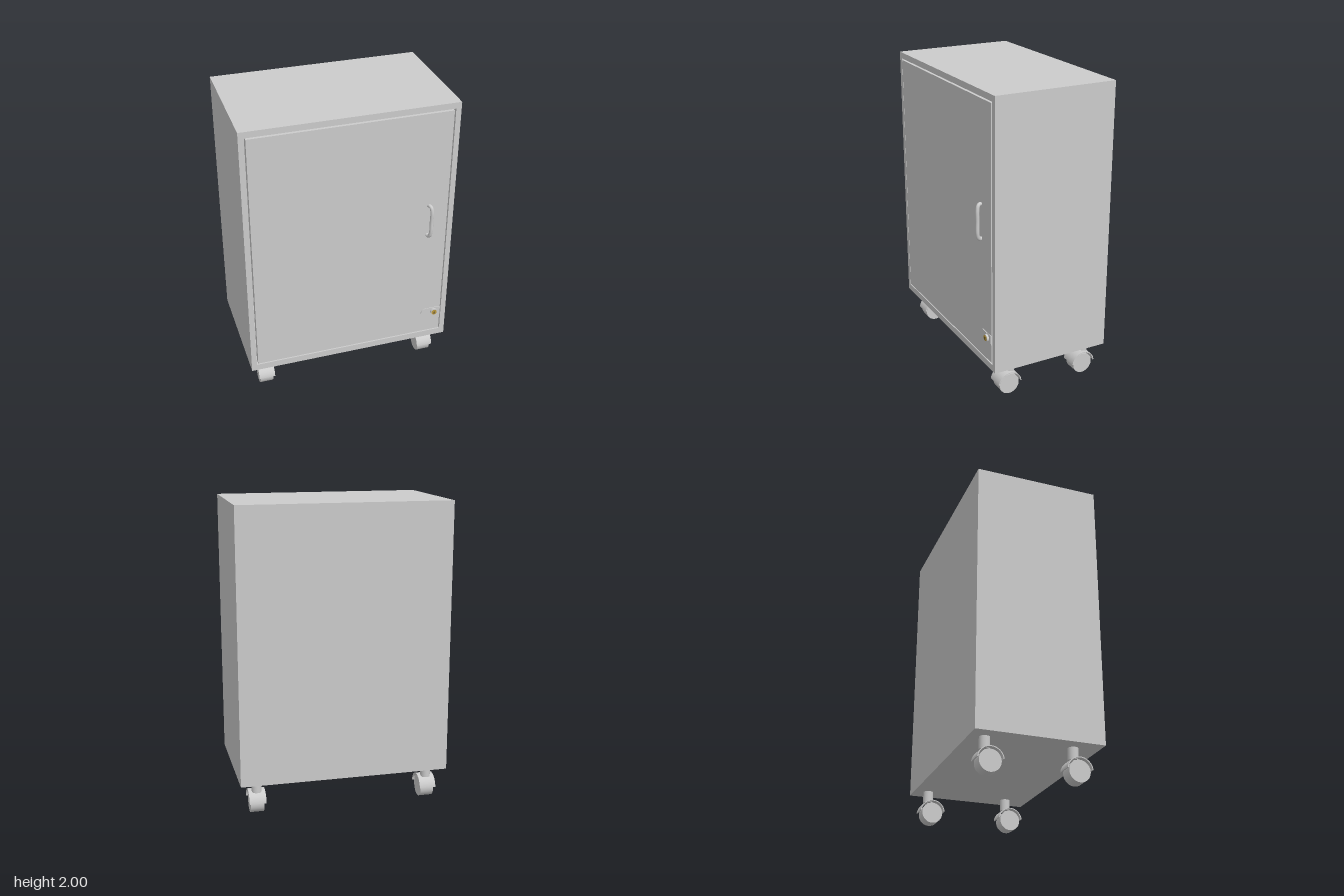
import * as THREE from 'three';

const grey = new THREE.MeshStandardMaterial({ color: 0xcccccc, side: THREE.DoubleSide });
const brass = new THREE.MeshStandardMaterial({ color: 0xb8963c });
const dark = new THREE.MeshStandardMaterial({ color: 0x333333 });

function add(parent, name, geometry, x = 0, y = 0, z = 0, material = grey) {
  const mesh = new THREE.Mesh(geometry, material);
  mesh.name = name;
  mesh.position.set(x, y, z);
  parent.add(mesh);
  return mesh;
}

function rectPath(path, x0, y0, x1, y1) {
  path.moveTo(x0, y0);
  path.lineTo(x1, y0);
  path.lineTo(x1, y1);
  path.lineTo(x0, y1);
  path.closePath();
  return path;
}

const extrude = (shape, depth) =>
  new THREE.ExtrudeGeometry(shape, { depth, bevelEnabled: false, curveSegments: 24 });

// Disc or drum whose axis points forward
const drum = (radius, depth) =>
  new THREE.CylinderGeometry(radius, radius, depth, 32).rotateX(Math.PI / 2);

function createCabinet() {
  const cabinet = new THREE.Group();
  cabinet.name = 'cabinet';
  // Shell open at the front, closed by a back panel
  const shell = rectPath(new THREE.Shape(), -0.69, 0.22, 0.69, 2);
  shell.holes.push(rectPath(new THREE.Path(), -0.655, 0.265, 0.655, 1.96));
  add(cabinet, 'shell', extrude(shell, 0.785), 0, 0, -0.4);
  add(cabinet, 'backPanel', new THREE.BoxGeometry(1.38, 1.78, 0.03), 0, 1.11, -0.415);
  return cabinet;
}

function createDoor() {
  const door = new THREE.Group();
  door.name = 'door';
  add(door, 'doorPanel', new THREE.BoxGeometry(1.292, 1.675, 0.04), 0, 1.113, 0.367);

  // Bowed pull handle, leaning slightly outwards
  const points = [
    [0.515, 1.08, 0.38], [0.518, 1.075, 0.395], [0.524, 1.085, 0.41], [0.528, 1.115, 0.418],
    [0.528, 1.19, 0.418], [0.528, 1.265, 0.418], [0.524, 1.295, 0.41], [0.518, 1.302, 0.395],
    [0.515, 1.297, 0.38],
  ].map((p) => new THREE.Vector3(...p));
  add(door, 'handle', new THREE.TubeGeometry(new THREE.CatmullRomCurve3(points), 64, 0.012, 16));

  // Lock plate with one rounded end
  const plate = new THREE.Shape();
  plate.moveTo(0.646, 0.402);
  plate.lineTo(0.646, 0.465);
  plate.lineTo(0.539, 0.465);
  plate.absarc(0.539, 0.4335, 0.0315, Math.PI / 2, Math.PI * 1.5, false);
  plate.closePath();
  add(door, 'lockPlate', extrude(plate, 0.006), 0, 0, 0.386);
  add(door, 'lockCollar', drum(0.025, 0.016), 0.598, 0.434, 0.397);
  add(door, 'lockCylinder', drum(0.019, 0.004), 0.598, 0.434, 0.406, brass);
  add(door, 'keySlot', new THREE.BoxGeometry(0.005, 0.017, 0.002), 0.598, 0.434, 0.408, dark);
  return door;
}

function createCaster(x, z) {
  const caster = new THREE.Group();
  caster.name = 'caster';
  caster.position.set(x, 0, z);
  add(caster, 'stem', new THREE.CylinderGeometry(0.033, 0.033, 0.08, 24), 0, 0.184, -0.021);
  add(caster, 'wheel', new THREE.CylinderGeometry(0.069, 0.069, 0.088, 40).rotateZ(Math.PI / 2), 0, 0.069, 0);

  // Curved mudguard over the wheel
  const guard = new THREE.Shape();
  guard.absarc(0, 0, 0.083, 0.1, Math.PI - 0.1, false);
  guard.absarc(0, 0, 0.077, Math.PI - 0.1, 0.1, true);
  guard.closePath();
  const geometry = extrude(guard, 0.11).translate(0, 0, -0.055).rotateY(Math.PI / 2);
  add(caster, 'wheelGuard', geometry, 0, 0.072, 0);
  // Axle bracket joining guard and wheel
  add(caster, 'bracket', new THREE.BoxGeometry(0.02, 0.035, 0.05), 0, 0.136, 0);
  return caster;
}

export function createModel() {
  const model = new THREE.Group();
  model.name = 'mobileCabinet';
  model.add(createCabinet(), createDoor());
  for (const x of [-0.576, 0.576]) {
    for (const z of [0.244, -0.312]) model.add(createCaster(x, z));
  }
  return model;
}
